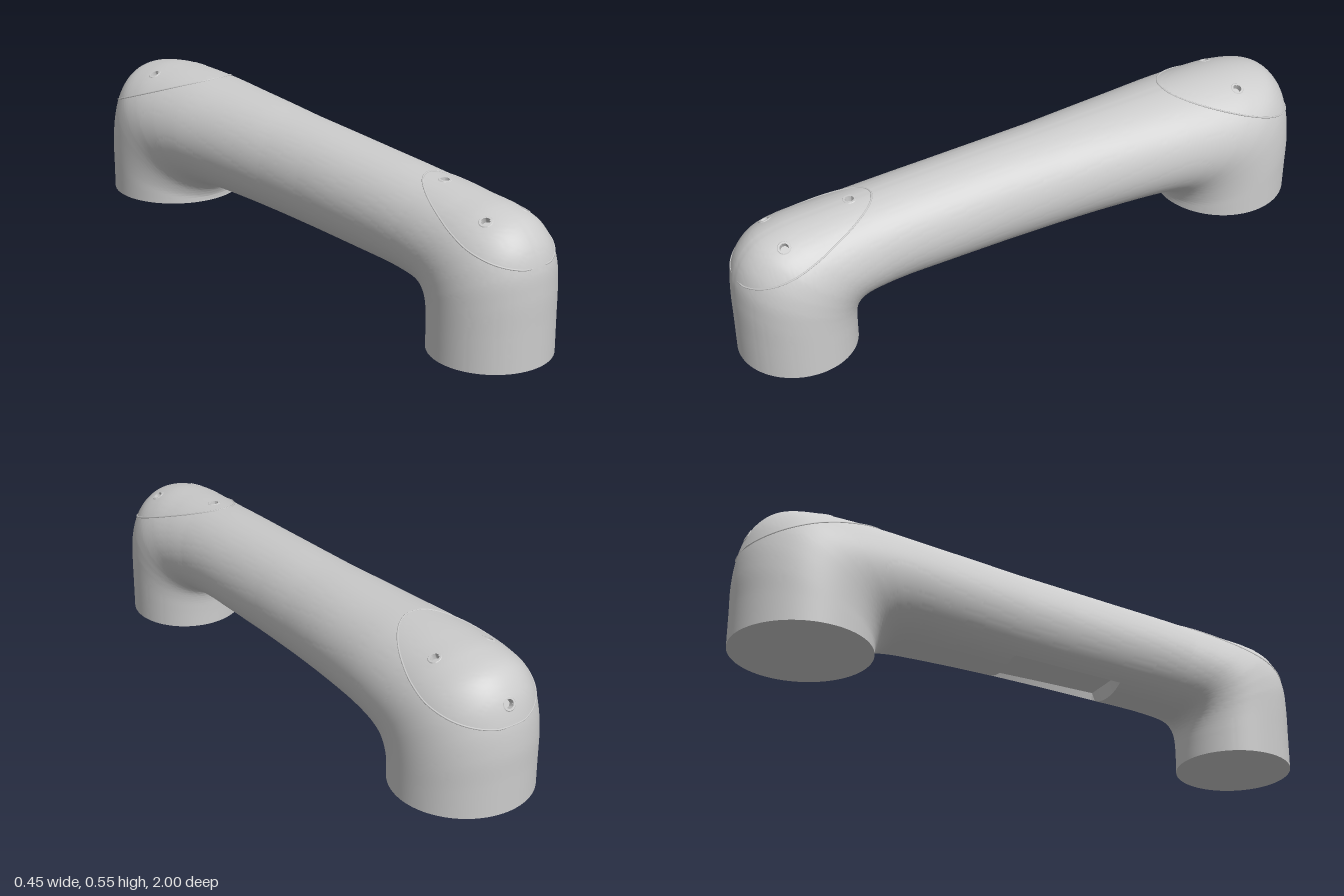
import * as THREE from 'three';
import { toCreasedNormals } from 'three/addons/utils/BufferGeometryUtils.js';

const SIDES = 128;
const STEP = 0.009;
const material = new THREE.MeshStandardMaterial({ color: 0xcccccc });
const thin = new THREE.MeshStandardMaterial({ color: 0xcccccc, side: THREE.DoubleSide });

// Cross-sections along the link: outer z, y | inner z, y | half width
const STATIONS = [
  [1, 0, 0.615, 0, 0.193],
  [1, 0.12, 0.615, 0.06, 0.193],
  [1, 0.23, 0.613, 0.1, 0.193],
  [0.993, 0.31, 0.607, 0.125, 0.193],
  [0.968, 0.375, 0.598, 0.138, 0.191],
  [0.92, 0.425, 0.585, 0.148, 0.187],
  [0.84, 0.453, 0.565, 0.154, 0.18],
  [0.72, 0.466, 0.54, 0.157, 0.173],
  [0.6, 0.475, 0.5, 0.16, 0.167],
  [0.45, 0.486, 0.45, 0.163, 0.165],
  [0.3, 0.495, 0.3, 0.167, 0.165],
  [0.1, 0.507, 0.1, 0.172, 0.166],
  [-0.08, 0.516, -0.08, 0.176, 0.172],
  [-0.22, 0.525, -0.22, 0.178, 0.181],
  [-0.4, 0.535, -0.36, 0.178, 0.194],
  [-0.55, 0.543, -0.43, 0.177, 0.205],
  [-0.7, 0.546, -0.475, 0.172, 0.214],
  [-0.82, 0.541, -0.505, 0.163, 0.22],
  [-0.91, 0.518, -0.525, 0.15, 0.223],
  [-0.96, 0.465, -0.537, 0.138, 0.224],
  [-0.988, 0.39, -0.545, 0.125, 0.224],
  [-1, 0.3, -0.551, 0.11, 0.224],
  [-1, 0.2, -0.552, 0.1, 0.224],
  [-1, 0.093, -0.552, 0.093, 0.224],
];

// Smoothly interpolated sections, each { outer, inner, width }
function makeSections() {
  const curve = (pick) => new THREE.CatmullRomCurve3(STATIONS.map(pick));
  const outer = curve(([z, y]) => new THREE.Vector3(0, y, z));
  const inner = curve(([, , z, y]) => new THREE.Vector3(0, y, z));
  const last = STATIONS.length - 1;
  const sections = [];
  for (let i = 0; i < last; i++) {
    const [a, b] = [STATIONS[i], STATIONS[i + 1]];
    const n = Math.ceil(Math.hypot(a[0] - b[0], a[1] - b[1]) / STEP);
    for (let k = 0; k < n + (i === last - 1 ? 1 : 0); k++) {
      const t = Math.min((i + k / n) / last, 1);
      sections.push({
        outer: outer.getPoint(t),
        inner: inner.getPoint(t),
        width: THREE.MathUtils.lerp(a[4], b[4], k / n),
      });
    }
  }
  return sections;
}

// Point on an elliptical section; angle 0 is the outer side
function sectionPoint({ outer, inner, width }, angle) {
  const p = inner.clone().lerp(outer, 0.5 + 0.5 * Math.cos(angle));
  p.x = width * Math.sin(angle);
  return p;
}

function bodyGeometry(sections) {
  const positions = [];
  const index = [];
  sections.forEach((s, i) => {
    for (let j = 0; j < SIDES; j++) {
      const angle = (j / SIDES) * Math.PI * 2;
      const p = sectionPoint(s, angle);
      // Rectangular pocket in the underside
      if (p.z < 0.301 && p.z > -0.081 && Math.abs(angle - Math.PI) < 0.52) p.y = 0.213;
      positions.push(p.x, p.y, p.z);
      if (i === sections.length - 1) continue;
      const a = i * SIDES + j;
      const b = i * SIDES + ((j + 1) % SIDES);
      index.push(a, b, a + SIDES, b, b + SIDES, a + SIDES);
    }
  });
  const geometry = new THREE.BufferGeometry();
  geometry.setAttribute('position', new THREE.Float32BufferAttribute(positions, 3));
  geometry.setIndex(index);
  return geometry;
}

// Removes the faces around each screw hole
function cutHoles(geometry, holes, radius) {
  const pos = geometry.attributes.position;
  const index = geometry.index.array;
  const kept = [];
  const centre = new THREE.Vector3();
  const v = new THREE.Vector3();
  for (let i = 0; i < index.length; i += 3) {
    centre.set(0, 0, 0);
    for (let k = 0; k < 3; k++) centre.addScaledVector(v.fromBufferAttribute(pos, index[i + k]), 1 / 3);
    if (holes.every((h) => h.point.distanceTo(centre) > radius)) kept.push(index[i], index[i + 1], index[i + 2]);
  }
  geometry.setIndex(kept);
}

// Joint line where a sloping plane y = y0 + slope * z meets the body
function seamGeometry(sections, y0, slope) {
  const height = (p) => p.y - y0 - slope * p.z;
  const half = [];
  for (const s of sections) {
    const [fo, fi] = [height(s.outer), height(s.inner)];
    if (fo <= 0 || fi >= 0) continue;
    half.push(sectionPoint(s, Math.acos(THREE.MathUtils.clamp(-(fo + fi) / (fo - fi), -1, 1))));
  }
  const mirrored = half.map((p) => new THREE.Vector3(-p.x, p.y, p.z)).reverse();
  const path = new THREE.CatmullRomCurve3([...half, ...mirrored], true);
  return new THREE.TubeGeometry(path, 240, 0.003, 6, true);
}

export function createModel() {
  const group = new THREE.Group();
  const add = (name, geometry, mat = material) => {
    const mesh = new THREE.Mesh(geometry, mat);
    mesh.name = name;
    group.add(mesh);
    return mesh;
  };
  const sections = makeSections();

  // Link body with both elbows
  const geometry = bodyGeometry(sections);
  const body = add('linkBody', geometry);

  // Screw positions in plan, dropped onto the surface
  const ray = new THREE.Raycaster();
  const holes = [[0, 0.6], [-0.08, 0.85], [0.08, 0.85], [0, -0.972], [-0.1, -0.755], [0.1, -0.755]].map(([x, z]) => {
    ray.set(new THREE.Vector3(x + 0.0003, 2, z + 0.0003), new THREE.Vector3(0, -1, 0));
    const hit = ray.intersectObject(body)[0];
    return { point: hit.point, normal: hit.face.normal.clone() };
  });
  cutHoles(geometry, holes, 0.016);
  body.geometry = toCreasedNormals(geometry, 0.6);

  // Screw holes: slim rim and a sunken well
  const profile = [[0.023, -0.002], [0.02, 0.001], [0.014, 0.001], [0.013, -0.018], [0, -0.018]];
  const well = toCreasedNormals(new THREE.LatheGeometry(profile.map(([r, y]) => new THREE.Vector2(r, y)), 28), 0.6);
  const up = new THREE.Vector3(0, 1, 0);
  for (const { point, normal } of holes) {
    const hole = add('screwHole', well, thin);
    hole.position.copy(point);
    hole.quaternion.setFromUnitVectors(up, normal);
  }

  // Cover joint lines
  add('frontCoverSeam', seamGeometry(sections, 0.672, -0.362));
  add('rearCoverSeam', seamGeometry(sections, 0.723, 0.348));

  // Flat mounting faces under both legs
  for (const [name, radius, y, z] of [['frontMount', 0.193, 0, 0.8075], ['rearMount', 0.224, 0.093, -0.776]]) {
    const face = add(name, new THREE.CircleGeometry(radius, SIDES));
    face.rotation.x = Math.PI / 2;
    face.position.set(0, y, z);
  }
  return group;
}
